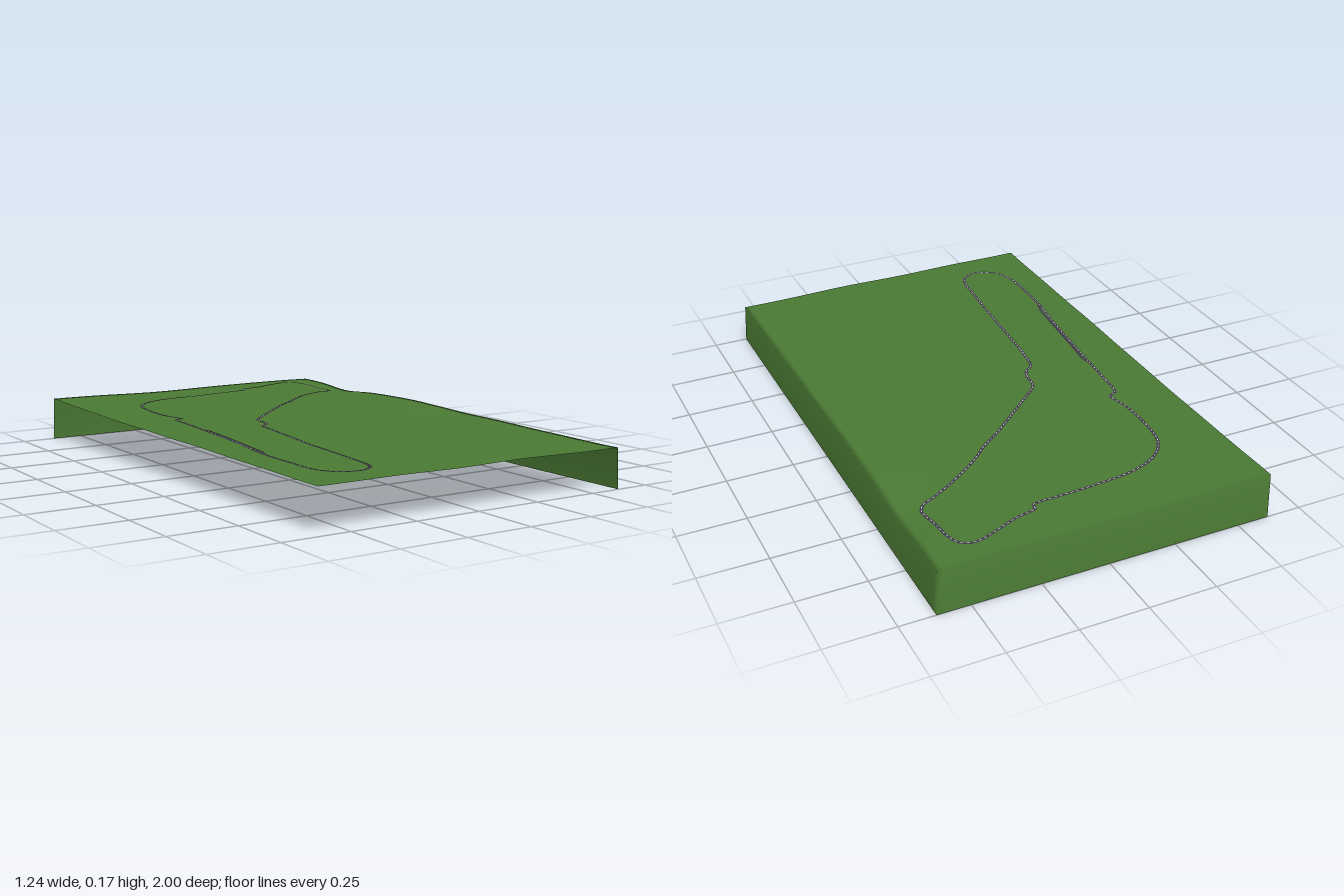
import * as THREE from 'three';

const grass = new THREE.MeshStandardMaterial({ name: 'grass green', color: 0x4b7a34, side: THREE.DoubleSide });
const asphalt = new THREE.MeshStandardMaterial({ name: 'asphalt grey', color: 0x3f3e47, side: THREE.DoubleSide });
const paint = new THREE.MeshStandardMaterial({ name: 'white paint', color: 0xf0f0f0, side: THREE.DoubleSide });

const X0 = -0.62, X1 = 0.612, Z0 = -0.99, Z1 = 1;

// Gentle hills and hollows: x, z, radius, height
const hills = [
  [-0.62, -1.0, 0.3, 0.008], [0.25, -0.25, 0.35, 0.01], [0.3, -1.0, 0.25, 0.005],
  [0.62, -0.65, 0.14, -0.012], [0.62, -0.2, 0.2, 0.006], [0.1, 0.28, 0.06, -0.003],
  [0.16, 0.33, 0.06, 0.002], [0.52, 0.05, 0.08, 0.004], [0.35, 0.25, 0.1, 0.002],
  [-0.3, 0.1, 0.25, 0.004], [0.6, 0.9, 0.3, -0.007], [-0.1, 1.0, 0.2, -0.003],
];

function height(x, z) {
  let y = 0.157 - 0.003 * z + 0.0012 * Math.sin(9 * x + 4 * z) * Math.cos(11 * z - 5 * x);
  for (const [hx, hz, r, h] of hills) y += h * Math.exp(-((x - hx) ** 2 + (z - hz) ** 2) / (r * r));
  return y;
}

// Ground sheet with one continuous smooth skirt down the +x and back edges
function makeGround() {
  const nx = 62, nz = 100, pos = [], index = [];
  for (let j = 0; j <= nz; j++) for (let i = 0; i <= nx; i++) {
    const x = X0 + (X1 - X0) * i / nx, z = Z0 + (Z1 - Z0) * j / nz;
    pos.push(x, height(x, z), z);
  }
  const id = (i, j) => j * (nx + 1) + i;
  const quad = (a, b, c, d) => index.push(a, b, c, a, c, d);
  for (let j = 0; j < nz; j++) for (let i = 0; i < nx; i++) {
    quad(id(i, j), id(i, j + 1), id(i + 1, j + 1), id(i + 1, j));
  }
  // skirt rim: back edge from -x to +x, then +x edge to the front
  const rim = [];
  for (let i = 0; i <= nx; i++) rim.push(id(i, 0));
  for (let j = 1; j <= nz; j++) rim.push(id(nx, j));
  const base = pos.length / 3;
  rim.forEach((v, k) => {
    const x = pos[v * 3], z = pos[v * 3 + 2];
    pos.push(k >= nx ? 0.62 : x, 0, k <= nx ? -1 : z);
  });
  for (let k = 0; k + 1 < rim.length; k++) quad(rim[k], rim[k + 1], base + k + 1, base + k);
  const geo = new THREE.BufferGeometry();
  geo.setAttribute('position', new THREE.Float32BufferAttribute(pos, 3));
  geo.setIndex(index);
  geo.computeVertexNormals();
  return geo;
}

// Flat strip draped over the ground along a curve; dash > 0 skips every other group of steps
function makeStrip(curve, steps, width, lift, dash = 0) {
  const pos = [], index = [];
  for (let k = 0; k <= steps; k++) {
    const p = curve.getPointAt(k / steps), t = curve.getTangentAt(k / steps);
    for (const s of [-0.5, 0.5]) {
      const x = p.x - t.z * width * s, z = p.z + t.x * width * s;
      pos.push(x, height(x, z) + lift, z);
    }
    if (k < steps && !(dash && Math.floor(k / dash) % 2)) {
      const a = 2 * k;
      index.push(a, a + 1, a + 3, a, a + 3, a + 2);
    }
  }
  const geo = new THREE.BufferGeometry();
  geo.setAttribute('position', new THREE.Float32BufferAttribute(pos, 3));
  geo.setIndex(index);
  geo.computeVertexNormals();
  return geo;
}

// Circuit centre line, clockwise from the far corner (x, z)
const circuit = [
  [0.46, -0.904], [0.492, -0.883], [0.508, -0.84], [0.518, -0.74], [0.526, -0.67], [0.508, -0.639],
  [0.455, -0.615], [0.349, -0.554], [0.254, -0.485], [0.18, -0.416], [0.085, -0.342], [-0.021, -0.247],
  [-0.127, -0.151], [-0.159, -0.119], [-0.173, -0.093], [-0.18, -0.034], [-0.196, 0.003], [-0.227, 0.029],
  [-0.243, 0.109], [-0.265, 0.347], [-0.291, 0.666], [-0.311, 0.825], [-0.339, 0.862], [-0.381, 0.878],
  [-0.434, 0.862], [-0.476, 0.825], [-0.497, 0.772], [-0.503, 0.639], [-0.499, 0.48], [-0.478, 0.321],
  [-0.456, 0.082], [-0.436, -0.183], [-0.428, -0.268], [-0.415, -0.284], [-0.394, -0.29], [-0.394, -0.31],
  [-0.412, -0.395], [-0.408, -0.554], [-0.392, -0.634], [-0.354, -0.692], [-0.296, -0.735], [-0.206, -0.767],
  [-0.074, -0.782], [0.085, -0.793], [0.168, -0.797], [0.185, -0.804], [0.19, -0.825], [0.27, -0.846],
  [0.376, -0.888], [0.423, -0.904],
];
const pitLane = [[-0.497, 0.49], [-0.483, 0.45], [-0.466, 0.3], [-0.444, 0.06], [-0.438, 0.0], [-0.447, -0.04]];
const toCurve = (pts, closed) =>
  new THREE.CatmullRomCurve3(pts.map(([x, z]) => new THREE.Vector3(x, 0, z)), closed, 'centripetal');

export function createModel() {
  const group = new THREE.Group();
  group.name = 'raceCircuit';
  const add = (name, geo, mat) => {
    const mesh = new THREE.Mesh(geo, mat);
    mesh.name = name;
    group.add(mesh);
  };
  const track = toCurve(circuit, true), pit = toCurve(pitLane, false);
  track.arcLengthDivisions = 1000;

  add('ground', makeGround(), grass);
  add('trackSurface', makeStrip(track, 900, 0.012, 0.0012), asphalt);
  add('pitLane', makeStrip(pit, 120, 0.009, 0.001), asphalt);
  add('centreDashes', makeStrip(track, 900, 0.0025, 0.002, 2), paint);
  return group;
}
